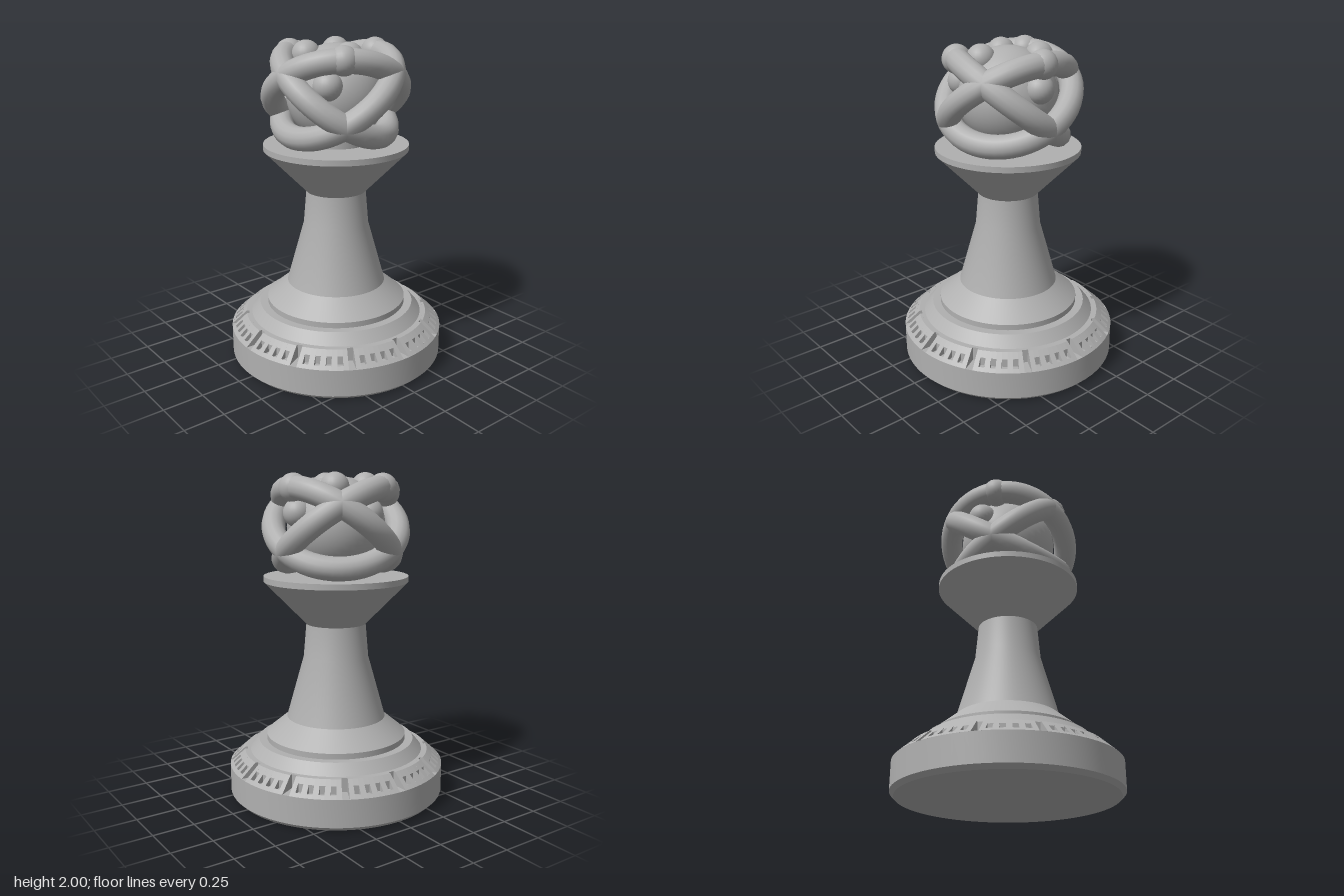
import * as THREE from 'three';
import { mergeGeometries, toCreasedNormals } from 'three/addons/utils/BufferGeometryUtils.js';

const SEGMENTS = 72;
const CENTER_Y = 1.68;
const TILT = 0.65;
const RING_R = 0.38;

const vec = (pts) => pts.map(([x, y]) => new THREE.Vector2(x, y));

export function createModel() {
  const model = new THREE.Group();
  model.name = 'chessPiece';
  const grey = new THREE.MeshStandardMaterial({ color: 0xb0b0b0, side: THREE.DoubleSide });
  grey.name = 'stone grey';

  const add = (name, geometry, parent = model) => {
    const mesh = new THREE.Mesh(geometry, grey);
    mesh.name = name;
    parent.add(mesh);
    return mesh;
  };
  const turned = (pts, segs = SEGMENTS, start = 0, length = Math.PI * 2) =>
    toCreasedNormals(new THREE.LatheGeometry(vec(pts), segs, start, length), 0.4);

  // Foot, stepped plinth, waisted column and flared cup
  add('foot', turned([[0, 0], [0.65, 0], [0.675, 0.025], [0.675, 0.195]]));
  add('plinth', turned([[0.565, 0.28], [0.545, 0.28], [0.49, 0.345], [0.44, 0.345],
    [0.44, 0.38], [0.31, 0.487]]));
  add('column', turned([[0.31, 0.487], [0.203, 0.87], [0.185, 1.08]]));
  add('cup', turned([[0.185, 1.08], [0.445, 1.345], [0.445, 1.38], [0, 1.38]]));

  // Sloping dial: sixty notches cut into the bevel, every fifth one long
  const slope = [[0.675, 0.195], [0.58, 0.28], [0.565, 0.28]];
  const notches = {
    long: {
      half: 0.032,
      profile: [[0.675, 0.195], [0.565, 0.195], [0.565, 0.28]],
      wall: [[0.675, 0.195], [0.565, 0.195], [0.565, 0.28], [0.58, 0.28]],
    },
    short: {
      half: 0.026,
      profile: [[0.675, 0.195], [0.655, 0.213], [0.655, 0.2], [0.612, 0.2], [0.612, 0.251],
        [0.58, 0.28], [0.565, 0.28]],
      wall: [[0.655, 0.213], [0.655, 0.2], [0.612, 0.2], [0.612, 0.251]],
    },
  };
  const step = Math.PI / 30;
  const kind = (i) => (i % 5 === 0 ? notches.long : notches.short);
  const dial = [];
  for (let i = 0; i < 60; i++) {
    const { half, profile, wall } = kind(i);
    const a = i * step;
    dial.push(turned(profile, 1, a - half, half * 2));
    dial.push(turned(slope, 1, a + half, step - half - kind(i + 1).half));
    for (const side of [-1, 1]) {
      const g = new THREE.ShapeGeometry(new THREE.Shape(vec(wall)));
      g.rotateY(a + side * half - Math.PI / 2);
      dial.push(g.toNonIndexed());
    }
  }
  add('notchedDial', mergeGeometries(dial));

  // Core ball on a short post
  const post = add('post', new THREE.CylinderGeometry(0.19, 0.19, 0.12, 40));
  post.position.y = 1.43;
  const core = add('core', new THREE.SphereGeometry(0.3, 40, 28));
  core.position.y = CENTER_Y;

  // Three tilted rings, each with a bead at its highest point
  const beadGeometry = new THREE.SphereGeometry(0.086, 24, 16);
  const ringGeometry = new THREE.TorusGeometry(RING_R, 0.072, 14, 56);
  ringGeometry.rotateX(Math.PI / 2);
  for (let i = 0; i < 3; i++) {
    const orbit = new THREE.Group();
    orbit.name = 'orbit';
    orbit.position.y = CENTER_Y;
    orbit.rotation.set(0, (i * Math.PI * 2) / 3, TILT);
    orbit.rotation.order = 'YXZ';
    add('ring', ringGeometry, orbit);
    add('ringBead', beadGeometry, orbit).position.x = RING_R;
    model.add(orbit);
  }

  // Small beads half sunk into the core
  const beads = [
    [-0.04, 1.915, 0.17], [0.11, 1.915, -0.145], [-0.16, 1.915, -0.08],
    [0.275, 1.765, 0], [-0.04, 1.765, -0.275], [-0.205, 1.765, 0.185],
  ];
  for (const p of beads) add('coreBead', beadGeometry).position.set(...p);

  return model;
}
